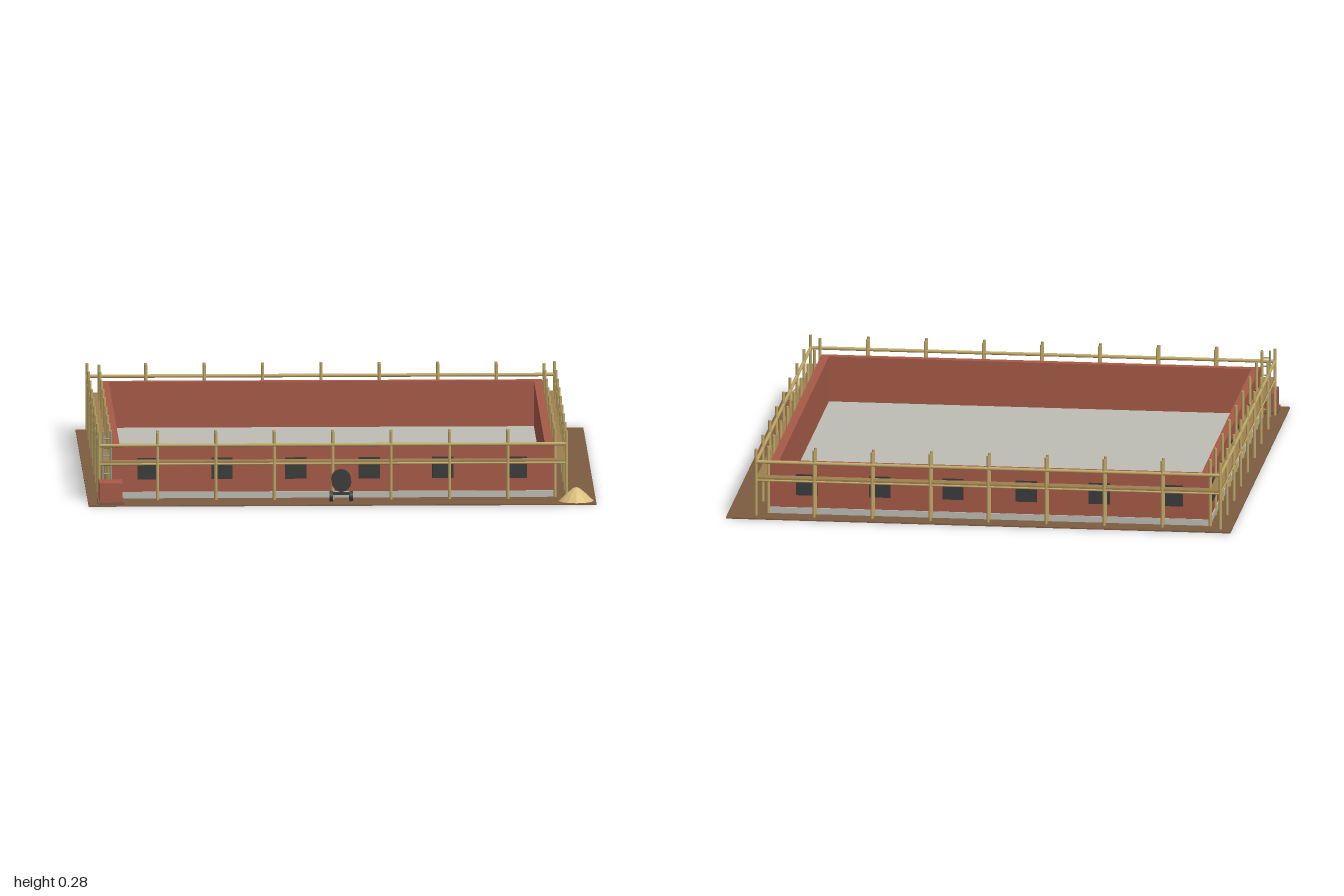
import * as THREE from 'three';

const material = (name, color, side = THREE.FrontSide) => {
  const m = new THREE.MeshStandardMaterial({ color, side });
  m.name = name;
  return m;
};

export function createModel() {
  const root = new THREE.Group();
  root.name = 'buildingSite';
  const earth = material('earth', 0x7d5c41);
  const concrete = material('concrete', 0xbdbdb6);
  const brick = material('brick', 0xa65a47, THREE.DoubleSide);
  const dark = material('darkMetal', 0x3a3b3c);
  const bamboo = material('bamboo', 0xbfa766);
  const plank = material('plank', 0x9e8050);
  const sand = material('sand', 0xd8be7c);
  const steel = material('ladderMetal', 0x9b9a82);

  const group = (name) => {
    const g = new THREE.Group();
    g.name = name;
    root.add(g);
    return g;
  };
  const add = (parent, name, geo, mat, x, y, z) => {
    const m = new THREE.Mesh(geo, mat);
    m.name = name;
    m.position.set(x, y, z);
    parent.add(m);
    return m;
  };
  // Box given by its lower and upper corner
  const box = (parent, name, mat, a, b) =>
    add(parent, name, new THREE.BoxGeometry(b[0] - a[0], b[1] - a[1], b[2] - a[2]), mat,
      (a[0] + b[0]) / 2, (a[1] + b[1]) / 2, (a[2] + b[2]) / 2);
  // Round pole between two points
  const pole = (parent, name, mat, a, b, r) => {
    const p = new THREE.Vector3(...a), q = new THREE.Vector3(...b);
    const d = q.clone().sub(p);
    const m = add(parent, name, new THREE.CylinderGeometry(r, r, d.length(), 8), mat,
      (p.x + q.x) / 2, (p.y + q.y) / 2, (p.z + q.z) / 2);
    m.quaternion.setFromUnitVectors(new THREE.Vector3(0, 1, 0), d.normalize());
  };

  // Ground and foundation slab
  box(root, 'ground', earth, [-1, 0, -1], [1, 0.005, 1]);
  box(root, 'slab', concrete, [-0.91, 0.004, -0.91], [0.84, 0.03, 0.815]);

  // Brick walls
  const X0 = -0.905, X1 = 0.835, Z0 = -0.905, Z1 = 0.807, T = 0.033, H = 0.212;
  const walls = group('walls');
  box(walls, 'backWall', brick, [X0, 0.03, Z0], [X1, H, Z0 + T]);
  box(walls, 'frontWall', brick, [X0, 0.03, Z1 - T], [X1, H, Z1]);
  box(walls, 'rightWall', brick, [X0, 0.03, Z0 + T], [X0 + T, H, Z1 - T]);
  box(walls, 'leftWall', brick, [X1 - T, 0.03, Z0 + T], [X1, H, Z1 - T]);

  // Six windows on every side
  const windows = group('windows');
  const P = 0.004;
  for (let i = 0; i < 6; i++) {
    const x = X0 + (X1 - X0) * (i + 0.5) / 6;
    const z = Z0 + (Z1 - Z0) * (i + 0.5) / 6;
    for (const s of [Z0, Z1])
      box(windows, 'window', dark, [x - 0.042, 0.08, s - P], [x + 0.042, 0.165, s + P]);
    for (const s of [X0, X1])
      box(windows, 'window', dark, [s - P, 0.08, z - 0.042], [s + P, 0.165, z + 0.042]);
  }

  // Scaffold: outer and inner posts, ledgers, guard rail and deck
  const scaffold = group('scaffold');
  const outer = { x: [-0.955, 0.885], z: [-0.955, 0.863] };
  const inner = { x: [-0.91, 0.842], z: [-0.91, 0.817] };
  const R = 0.006, TOP = 0.275;
  const post = (x, z) => pole(scaffold, 'post', bamboo, [x, 0, z], [x, TOP, z], R);
  for (const ring of [outer, inner]) {
    for (const x of ring.x) for (const z of ring.z) post(x, z);
    for (let i = 1; i < 8; i++) {
      const x = THREE.MathUtils.lerp(...outer.x, i / 8);
      const z = THREE.MathUtils.lerp(...outer.z, i / 8);
      for (const s of ring.z) post(x, s);
      for (const s of ring.x) post(s, z);
    }
    const levels = ring === outer ? [0.148, 0.223] : [0.148];
    for (const y of levels) {
      for (const z of ring.z)
        pole(scaffold, 'rail', bamboo, [ring.x[0], y, z], [ring.x[1], y, z], y > 0.2 ? 0.007 : 0.004);
      for (const x of ring.x)
        pole(scaffold, 'rail', bamboo, [x, y, ring.z[0]], [x, y, ring.z[1]], y > 0.2 ? 0.007 : 0.004);
    }
  }
  for (let k = 0; k < 2; k++) {
    const za = Math.min(outer.z[k], inner.z[k]), zb = Math.max(outer.z[k], inner.z[k]);
    const xa = Math.min(outer.x[k], inner.x[k]), xb = Math.max(outer.x[k], inner.x[k]);
    box(scaffold, 'deck', plank, [outer.x[0], 0.151, za], [outer.x[1], 0.159, zb]);
    box(scaffold, 'deck', plank, [xa, 0.151, inner.z[0]], [xb, 0.159, inner.z[1]]);
  }

  // Ladder at the front right corner
  const ladder = group('ladder');
  for (const x of [-0.94, -0.908])
    pole(ladder, 'ladderRail', steel, [x, 0, 0.83], [x, TOP, 0.83], 0.004);
  for (let i = 1; i < 8; i++)
    pole(ladder, 'rung', steel, [-0.94, i * 0.035, 0.83], [-0.908, i * 0.035, 0.83], 0.003);

  // Brick stack on a pallet
  const stack = group('brickStack');
  box(stack, 'pallet', earth, [-0.963, 0.004, 0.867], [-0.86, 0.016, 0.987]);
  box(stack, 'bricks', brick, [-0.957, 0.016, 0.872], [-0.866, 0.09, 0.981]);

  // Mixer: open trough between two end discs, on two wheels
  const mixer = group('mixer');
  const trough = add(mixer, 'trough',
    new THREE.CylinderGeometry(0.034, 0.034, 0.082, 16, 1, true, -Math.PI / 2, Math.PI), brick, -0.003, 0.088, 0.912);
  trough.rotation.x = Math.PI / 2;
  for (const z of [0.871, 0.953]) {
    const disc = add(mixer, 'endDisc', new THREE.CylinderGeometry(0.039, 0.039, 0.004, 16), dark, -0.003, 0.088, z);
    disc.rotation.x = Math.PI / 2;
  }
  for (const s of [-1, 1]) {
    const wheel = add(mixer, 'wheel', new THREE.CylinderGeometry(0.021, 0.021, 0.014, 14), dark, -0.003 + s * 0.039, 0.024, 0.905);
    wheel.rotation.z = Math.PI / 2;
  }
  box(mixer, 'axle', dark, [-0.045, 0.03, 0.895], [0.04, 0.04, 0.915]);
  box(mixer, 'drumSupport', dark, [-0.009, 0.038, 0.9], [0.003, 0.055, 0.91]);

  // Sand heap
  const heap = new THREE.LatheGeometry(
    [[0.071, 0.003], [0.04, 0.033], [0.012, 0.056], [0, 0.059]].map(p => new THREE.Vector2(...p)).reverse(), 12);
  const sandFaces = heap.toNonIndexed();
  sandFaces.computeVertexNormals();
  // Lathe profile runs downward, so turn the faces outward if needed
  const pos = sandFaces.attributes.position, n = sandFaces.attributes.normal;
  let up = 0;
  for (let i = 0; i < pos.count; i++) up += n.getY(i) || 0;
  if (up < 0) {
    heap.setIndex(Array.from(heap.index.array).reverse());
  }
  const flat = heap.toNonIndexed();
  flat.computeVertexNormals();
  add(root, 'sandHeap', flat, sand, 0.922, 0, 0.921);

  return root;
}
